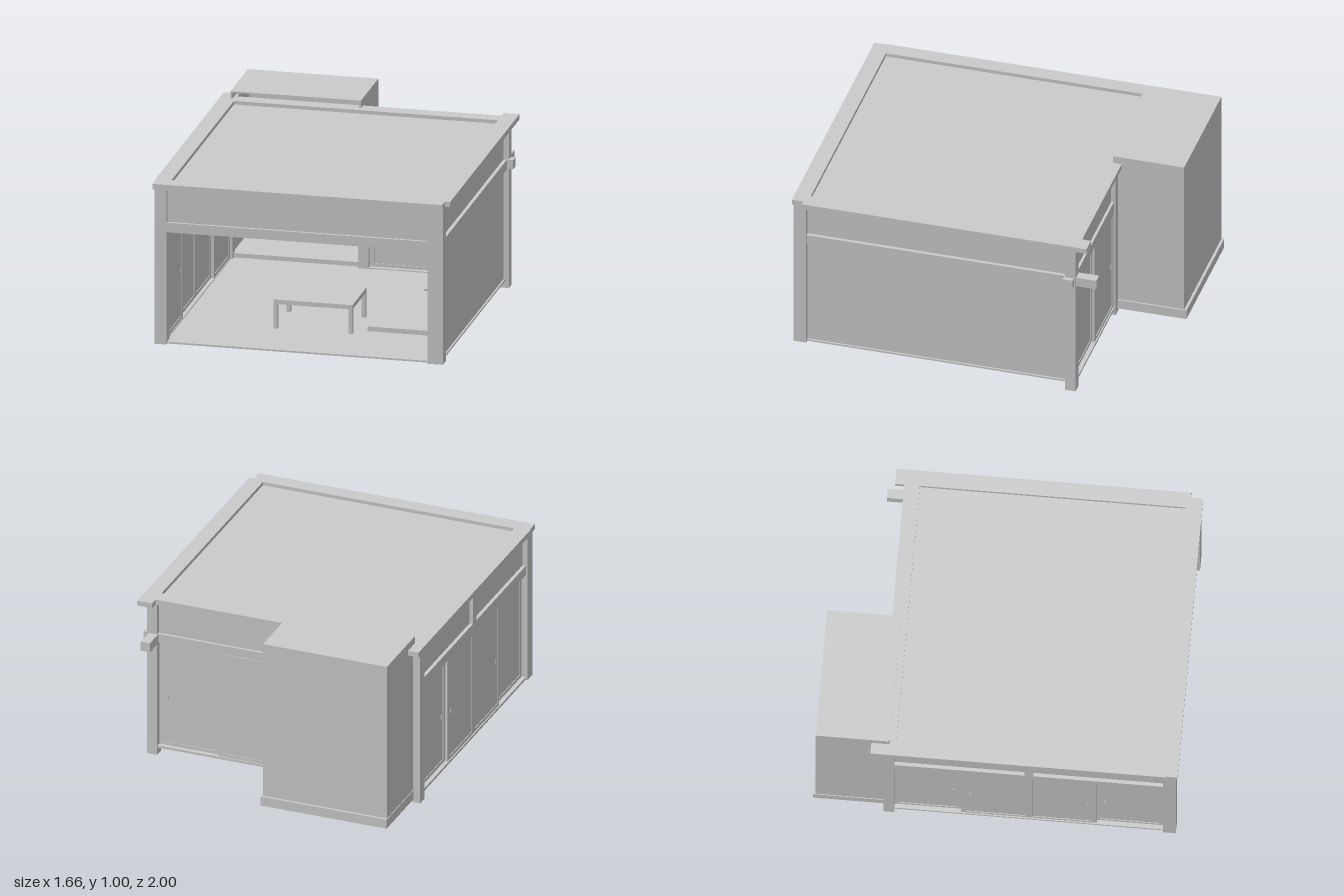
import * as THREE from 'three';

const material = new THREE.MeshStandardMaterial({ color: 0xcccccc, flatShading: true });

// Box given by its limits on each axis
function box(parent, name, x0, x1, y0, y1, z0, z1) {
  const mesh = new THREE.Mesh(new THREE.BoxGeometry(x1 - x0, y1 - y0, z1 - z0), material);
  mesh.position.set((x0 + x1) / 2, (y0 + y1) / 2, (z0 + z1) / 2);
  mesh.name = name;
  parent.add(mesh);
  return mesh;
}

function part(parent, name) {
  const group = new THREE.Group();
  group.name = name;
  parent.add(group);
  return group;
}

// Sliding door standing on its local origin, its width along x
function slidingDoor(parent, width, handleSide) {
  const door = part(parent, 'slidingDoor');
  const w = width / 2, h = 0.63, f = 0.025, d = 0.008;
  box(door, 'doorPanel', -w + f, w - f, f, h - f, -0.004, 0.004);
  for (const s of [-1, 1]) {
    const x = s * (w - f / 2);
    box(door, 'doorStile', x - f / 2, x + f / 2, 0, h, -d, d);
    const hx = handleSide * (w - 0.05);
    box(door, 'doorHandle', hx - 0.004, hx + 0.004, 0.28, 0.305, s * 0.006 - 0.003, s * 0.006 + 0.003);
  }
  box(door, 'bottomRail', -w + f, w - f, 0, f, -d, d);
  box(door, 'topRail', -w + f, w - f, h - f, h, -d, d);
  return door;
}

export function createModel() {
  const model = new THREE.Group();
  model.name = 'room';

  box(model, 'floor', -0.79, 0.78, 0.04, 0.05, -0.58, 0.97);

  // Posts
  const posts = part(model, 'posts');
  box(posts, 'frontLeftPost', 0.715, 0.8, 0.04, 0.93, 0.92, 0.99);
  box(posts, 'frontRightPost', -0.815, -0.75, 0.04, 0.93, 0.92, 0.99);
  box(posts, 'backLeftPost', 0.74, 0.8, 0, 0.93, -0.61, -0.55);
  box(posts, 'backRightPost', -0.81, -0.75, 0, 0.93, -0.61, -0.55);
  box(posts, 'backMiddlePost', -0.045, 0.012, 0, 0.93, -0.61, -0.55);

  // Beams at door height, two of them running past the back corner
  const beams = part(model, 'beams');
  box(beams, 'frontBeam', -0.75, 0.715, 0.68, 0.735, 0.925, 0.98);
  box(beams, 'leftBeam', 0.735, 0.79, 0.68, 0.735, -0.725, 0.92);
  box(beams, 'rightBeam', -0.805, -0.755, 0.68, 0.735, -0.55, 0.92);
  box(beams, 'backBeam', -0.75, 0.825, 0.683, 0.735, -0.6, -0.545);

  // Solid walls and panels over the beams
  const walls = part(model, 'walls');
  box(walls, 'leftWall', 0.75, 0.77, 0.045, 0.93, -0.56, 0.93);
  box(walls, 'frontTransom', -0.76, 0.73, 0.735, 0.93, 0.945, 0.965);
  box(walls, 'backTransom', -0.76, 0.75, 0.735, 0.93, -0.585, -0.57);
  box(walls, 'rightTransom', -0.785, -0.77, 0.735, 0.93, -0.56, 0.93);
  box(walls, 'rightTransomPost', -0.805, -0.76, 0.735, 0.93, 0.16, 0.21);

  // Roof rim around a sunken panel
  const roof = part(model, 'roof');
  box(roof, 'roofPanel', -0.76, 0.76, 0.925, 0.937, -0.57, 0.93);
  box(roof, 'leftEave', 0.74, 0.828, 0.927, 0.957, -0.68, 0.935);
  box(roof, 'rightEave', -0.83, -0.74, 0.927, 0.957, -0.68, 0.935);
  box(roof, 'frontEave', -0.825, 0.8, 0.926, 0.957, 0.91, 1.0);
  box(roof, 'backEave', -0.74, 0.74, 0.927, 0.957, -0.63, -0.545);

  // Four doors on the right side and two at the back, on alternating tracks
  const doors = part(model, 'doors');
  for (let i = 0; i < 4; i++) {
    const door = slidingDoor(doors, 0.375, i % 2 ? -1 : 1);
    const outer = i === 0 || i === 3;
    door.rotation.y = -Math.PI / 2;
    door.position.set(outer ? -0.772 : -0.79, 0.05, -0.366 + i * 0.367);
  }
  for (const i of [0, 1]) {
    const door = slidingDoor(doors, i ? 0.365 : 0.37, i ? 1 : -1);
    door.position.set(i ? 0.555 : 0.197, 0.05, i ? -0.572 : -0.59);
  }
  box(doors, 'rightSill', -0.805, -0.76, 0.042, 0.056, -0.55, 0.92);
  box(doors, 'backSill', 0.012, 0.74, 0.042, 0.056, -0.605, -0.555);

  // Alcove behind the room, open towards it
  const alcove = part(model, 'alcove');
  box(alcove, 'alcoveBase', -0.772, -0.028, 0.02, 0.075, -1.0, -0.58);
  for (const x of [-0.763, -0.042]) box(alcove, 'alcoveSide', x - 0.005, x + 0.005, 0.075, 0.992, -0.985, -0.58);
  box(alcove, 'alcoveBack', -0.758, -0.047, 0.075, 0.992, -0.985, -0.975);
  box(alcove, 'alcoveTop', -0.768, -0.037, 0.992, 1.0, -0.985, -0.58);

  // Low table
  const table = part(model, 'table');
  box(table, 'tableTop', -0.242, 0.2, 0.19, 0.215, 0.28, 0.6);
  for (const x of [-0.242, 0.178])
    for (const z of [0.28, 0.578]) box(table, 'tableLeg', x, x + 0.022, 0.05, 0.19, z, z + 0.022);

  // Floor bed with pillow and short feet
  const bed = part(model, 'bed');
  box(bed, 'mattress', 0.27, 0.735, 0.053, 0.08, -0.3, 0.54);
  box(bed, 'pillow', 0.42, 0.585, 0.08, 0.092, -0.25, -0.15);
  for (const x of [0.34, 0.72])
    for (const z of [-0.225, 0.5]) box(bed, 'bedFoot', x - 0.015, x + 0.015, 0.037, 0.053, z - 0.02, z + 0.02);

  return model;
}
